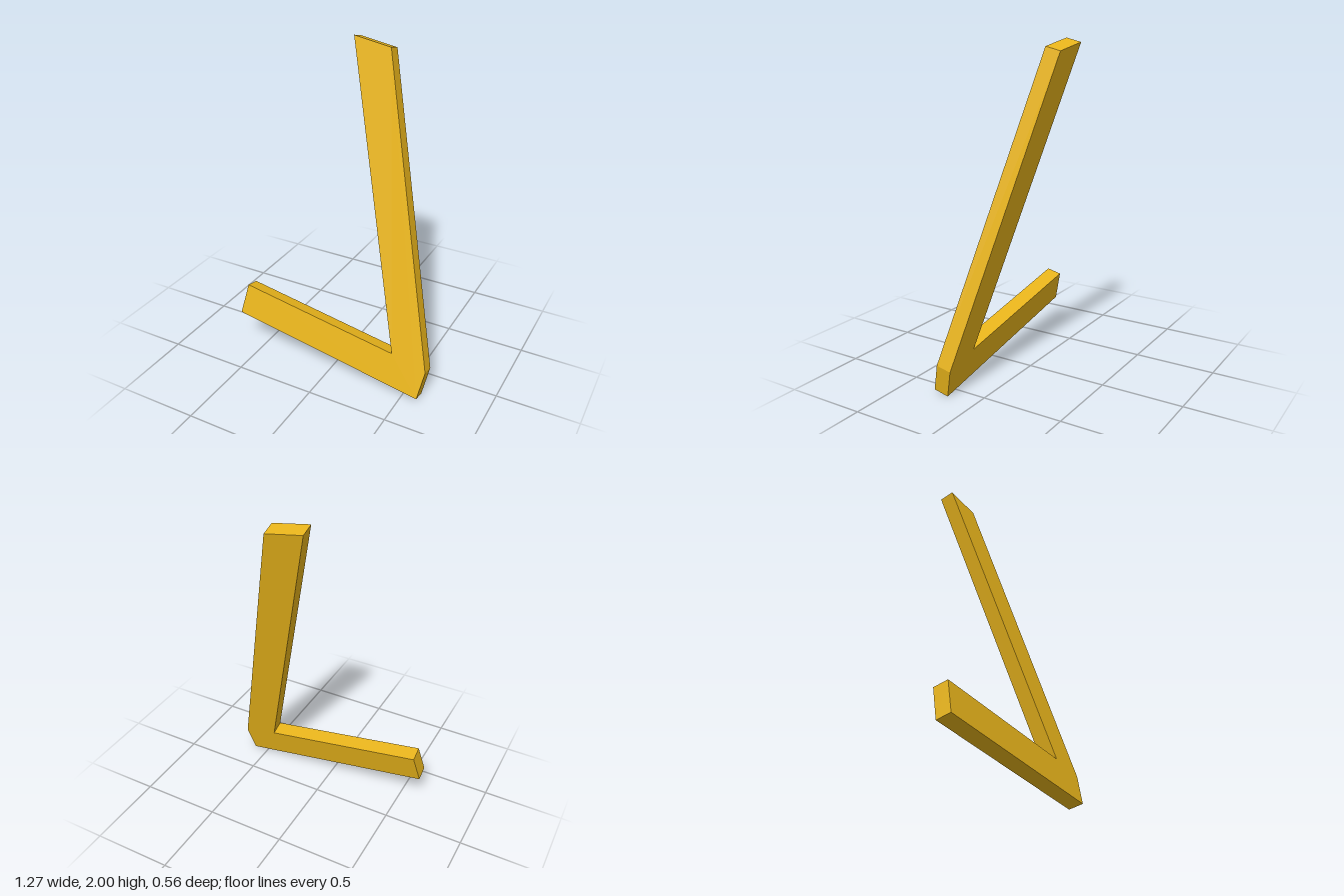
import * as THREE from 'three';

export function createModel() {
  const group = new THREE.Group();
  group.name = 'angledBracket';

  // Outline of the bent bar: long upright arm, bevelled heel, short foot arm
  const outline = [
    [-0.07, 2.0], [-0.6, 0.43], [0.41, 0.255],
  ];
  const shape = new THREE.Shape([
    [0.6, 0.024], [0.63, 0.195], [0.16, 1.96], outline[0],
    outline[2], outline[1], [-0.633, 0.242],
  ].map(([x, y]) => new THREE.Vector2(x, y)));

  const geometry = new THREE.ExtrudeGeometry(shape, { depth: 1, bevelEnabled: false });
  geometry.translate(0, 0, -1);

  // Lay the outline on a plane leaning backwards, with thickness along its normal
  const across = new THREE.Vector3(1, 0, -0.0443);
  const up = new THREE.Vector3(0, 1, -0.2537);
  const thickness = new THREE.Vector3().crossVectors(across, up).setLength(0.093);
  const lean = new THREE.Matrix4().makeBasis(across, up, thickness);
  lean.setPosition(0, 0, 0.311);
  geometry.applyMatrix4(lean);

  const bar = new THREE.Mesh(
    geometry,
    new THREE.MeshStandardMaterial({ color: 0xe8b41b }),
  );
  bar.name = 'bentBar';
  group.add(bar);
  return group;
}
